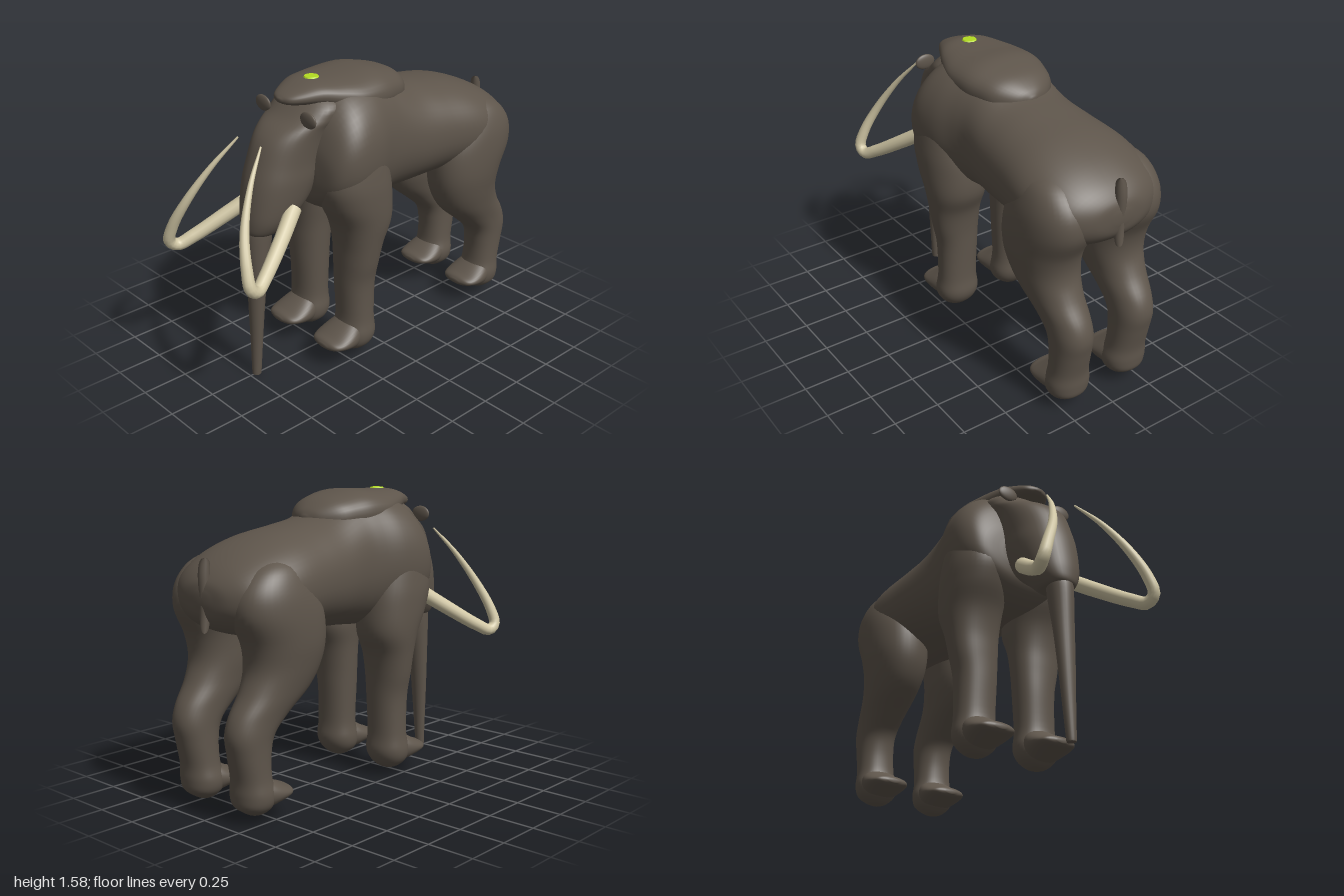
import * as THREE from 'three';

const hide = new THREE.MeshStandardMaterial({ color: 0x5e554b });
hide.name = 'brown hide';
const ivory = new THREE.MeshStandardMaterial({ color: 0xd2c8a6 });
ivory.name = 'ivory';
const lime = new THREE.MeshStandardMaterial({ color: 0xb4dc22 });
lime.name = 'lime';

// Closed smooth skin through elliptical sections [t, maxD, minD, maxX, minX].
// Along 'z' D is height; along 'y' D is depth. Exponent e > 2 squares the rings.
function loft(axis, sections, e = 2, around = 40, per = 5) {
  const V = (a, b, c) => new THREE.Vector3(a, b, c);
  const spline = (pts) => new THREE.CatmullRomCurve3(pts, false, 'catmullrom', 0.5);
  const centres = spline(sections.map(([t, d1, d0, x1, x0]) => V((x1 + x0) / 2, (d1 + d0) / 2, t)));
  const radii = spline(sections.map(([, d1, d0, x1, x0]) => V((x1 - x0) / 2, (d1 - d0) / 2, 0)));
  const rows = (sections.length - 1) * per;
  const pos = [], idx = [];
  const put = (x, d, t) => (axis === 'z' ? pos.push(x, d, t) : pos.push(x, t, d));
  const bend = (v) => Math.sign(v) * Math.abs(v) ** (2 / e);
  for (let i = 0; i <= rows; i++) {
    const c = centres.getPoint(i / rows), r = radii.getPoint(i / rows);
    for (let j = 0; j < around; j++) {
      const a = (j / around) * Math.PI * 2;
      put(c.x + Math.max(r.x, 0.001) * bend(Math.cos(a)), c.y + Math.max(r.y, 0.001) * bend(Math.sin(a)), c.z);
    }
  }
  const first = centres.getPoint(0), last = centres.getPoint(1);
  put(first.x, first.y, first.z);
  put(last.x, last.y, last.z);
  const p0 = (rows + 1) * around, p1 = p0 + 1;
  // Winding depends on the axis and on the direction of travel
  const flip = (axis === 'z') !== (last.z > first.z);
  const face = (a, b, c) => (flip ? idx.push(a, c, b) : idx.push(a, b, c));
  for (let j = 0; j < around; j++) {
    const k = (j + 1) % around;
    for (let i = 0; i < rows; i++) {
      const a = i * around + j, b = i * around + k;
      face(a, b, b + around);
      face(a, b + around, a + around);
    }
    face(p0, k, j);
    face(p1, rows * around + j, rows * around + k);
  }
  const g = new THREE.BufferGeometry();
  g.setAttribute('position', new THREE.Float32BufferAttribute(pos, 3));
  g.setIndex(idx);
  g.computeVertexNormals();
  return g;
}

// Tube whose radius follows a rule
function taperedTube(points, radius, steps = 56) {
  const curve = new THREE.CatmullRomCurve3(points.map((p) => new THREE.Vector3(...p)));
  const g = new THREE.TubeGeometry(curve, steps, 1, 14);
  const p = g.attributes.position, v = new THREE.Vector3();
  for (let n = 0; n < p.count; n++) {
    const t = Math.floor(n / 15) / steps, c = curve.getPointAt(t);
    v.fromBufferAttribute(p, n).sub(c).multiplyScalar(radius(t)).add(c);
    p.setXYZ(n, v.x, v.y, v.z);
  }
  return g;
}

export function createModel() {
  const model = new THREE.Group();
  const add = (name, geometry, material = hide) => {
    const m = new THREE.Mesh(geometry, material);
    m.name = name;
    model.add(m);
    return m;
  };
  const sym = (rows) => rows.map(([t, a, b, x]) => [t, a, b, x, -x]);

  // Torso from rump to chest: z, top, bottom, half width
  add('torso', loft('z', sym([
    [-0.988, 1.13, 1.07, 0.04], [-0.968, 1.19, 1.0, 0.17], [-0.9, 1.26, 0.94, 0.285],
    [-0.78, 1.33, 0.9, 0.345], [-0.62, 1.385, 0.88, 0.36], [-0.42, 1.42, 0.88, 0.335],
    [-0.25, 1.455, 0.87, 0.315], [-0.1, 1.53, 0.86, 0.3], [0, 1.565, 0.85, 0.315],
    [0.12, 1.57, 0.85, 0.355], [0.25, 1.54, 0.86, 0.37], [0.34, 1.45, 0.9, 0.345],
    [0.395, 1.31, 0.96, 0.28], [0.415, 1.2, 1.02, 0.15],
  ]), 2.2, 56));

  // Crown hump with an overhanging brow
  add('crown', loft('z', sym([
    [-0.29, 1.45, 1.4, 0.02], [-0.26, 1.49, 1.36, 0.1], [-0.19, 1.535, 1.34, 0.18],
    [-0.1, 1.562, 1.34, 0.22], [0, 1.58, 1.34, 0.245], [0.13, 1.574, 1.36, 0.245],
    [0.24, 1.572, 1.41, 0.205], [0.34, 1.57, 1.45, 0.155], [0.43, 1.545, 1.465, 0.105],
    [0.48, 1.525, 1.475, 0.065], [0.503, 1.508, 1.49, 0.015],
  ]), 2.3));

  // Head: y, front, back, half width
  add('head', loft('y', sym([
    [0.828, 0.69, 0.58, 0.055], [0.842, 0.73, 0.53, 0.088], [0.9, 0.737, 0.47, 0.125],
    [0.98, 0.73, 0.38, 0.15], [1.1, 0.708, 0.3, 0.167], [1.2, 0.675, 0.26, 0.167],
    [1.3, 0.63, 0.22, 0.175], [1.36, 0.575, 0.2, 0.185], [1.41, 0.49, 0.18, 0.2],
    [1.47, 0.42, 0.16, 0.19], [1.54, 0.34, 0.2, 0.08],
  ]), 2.2));

  // Trunk
  add('trunk', loft('y', sym([
    [0.86, 0.725, 0.59, 0.068], [0.8, 0.732, 0.588, 0.067], [0.6, 0.73, 0.625, 0.057],
    [0.4, 0.73, 0.65, 0.047], [0.2, 0.73, 0.668, 0.036], [0.02, 0.732, 0.682, 0.026],
    [0.0, 0.73, 0.685, 0.022],
  ]), 2, 24));

  // Legs: y, front z, back z, inner x, outer x
  const frontLeg = [
    [1.34, 0.25, 0.13, 0.2, 0.26], [1.25, 0.34, 0.06, 0.12, 0.34], [1.08, 0.4, 0.0, 0.06, 0.372],
    [0.95, 0.375, -0.02, 0.04, 0.375], [0.82, 0.31, -0.015, 0.04, 0.365], [0.7, 0.28, 0.035, 0.055, 0.345],
    [0.58, 0.272, 0.058, 0.063, 0.325], [0.45, 0.268, 0.068, 0.07, 0.3], [0.25, 0.262, 0.075, 0.078, 0.298],
    [0.15, 0.28, 0.068, 0.068, 0.308], [0.09, 0.27, 0.09, 0.085, 0.29], [0.05, 0.235, 0.13, 0.13, 0.245],
    [0.035, 0.2, 0.17, 0.17, 0.2],
  ];
  const hindLeg = [
    [1.3, -0.62, -0.72, 0.18, 0.24], [1.24, -0.56, -0.85, 0.1, 0.325], [1.14, -0.49, -0.935, 0.04, 0.37],
    [1.02, -0.43, -0.945, 0.03, 0.385], [0.88, -0.42, -0.88, 0.04, 0.38], [0.76, -0.445, -0.865, 0.05, 0.36],
    [0.65, -0.51, -0.905, 0.07, 0.335], [0.54, -0.64, -0.975, 0.085, 0.31], [0.45, -0.735, -0.998, 0.09, 0.3],
    [0.35, -0.765, -0.98, 0.09, 0.295], [0.23, -0.765, -0.955, 0.085, 0.295], [0.15, -0.745, -0.952, 0.07, 0.305],
    [0.09, -0.755, -0.94, 0.085, 0.29], [0.05, -0.79, -0.89, 0.13, 0.245], [0.035, -0.825, -0.855, 0.17, 0.2],
  ];
  // Toes blending out of the foot: distance forward, top, bottom, half width
  const toes = [
    [0, 0.27, 0.05, 0.09], [0.07, 0.235, 0.062, 0.115], [0.13, 0.2, 0.08, 0.121],
    [0.18, 0.173, 0.097, 0.112], [0.215, 0.16, 0.108, 0.085], [0.232, 0.143, 0.122, 0.03],
  ];

  for (const s of [1, -1]) {
    const side = s > 0 ? 'left' : 'right';
    const mirror = (rows) => rows.map(([t, a, b, x0, x1]) =>
      (s > 0 ? [t, a, b, x1, x0] : [t, a, b, -x0, -x1]));
    const addToes = (name, z) => {
      add(side + name, loft('z', sym(toes))).position.set(s * 0.187, 0, z);
    };
    add(side + 'FrontLeg', loft('y', mirror(frontLeg), 2.2));
    add(side + 'HindLeg', loft('y', mirror(hindLeg), 2.2));
    addToes('FrontToes', 0.175);
    addToes('HindToes', -0.87);

    // Small flat ears beside the brow
    const ear = add(side + 'Ear', new THREE.SphereGeometry(1, 28, 18));
    ear.position.set(s * 0.175, 1.43, 0.462);
    ear.scale.set(0.058, 0.042, 0.015);

    // Long tusk sweeping down, out and back up
    add(side + 'Tusk', taperedTube([
      [s * 0.14, 0.97, 0.54], [s * 0.22, 0.867, 0.69], [s * 0.298, 0.765, 0.85], [s * 0.333, 0.728, 0.93],
      [s * 0.34, 0.76, 0.972], [s * 0.31, 0.85, 0.968], [s * 0.24, 1.0, 0.92], [s * 0.16, 1.18, 0.815],
      [s * 0.09, 1.33, 0.69],
    ], (t) => 0.042 - 0.012 * t - 0.025 * t * t), ivory);
  }

  // Short tail lying on the rump, sunk in at the middle
  add('tail', taperedTube([
    [0, 1.295, -0.955], [0, 1.21, -0.965], [0, 1.1, -0.962], [0, 1.02, -0.964], [0, 0.93, -0.972],
  ], (t) => 0.0005 + 0.03 * Math.sqrt(Math.max(0, 1 - (2 * t - 1) ** 8)) * (1 - 0.25 * t)));

  // Coloured patch on top of the crown
  const patch = add('crownPatch', new THREE.CylinderGeometry(0.036, 0.042, 0.009, 10), lime);
  patch.position.set(0, 1.573, 0.29);

  return model;
}
